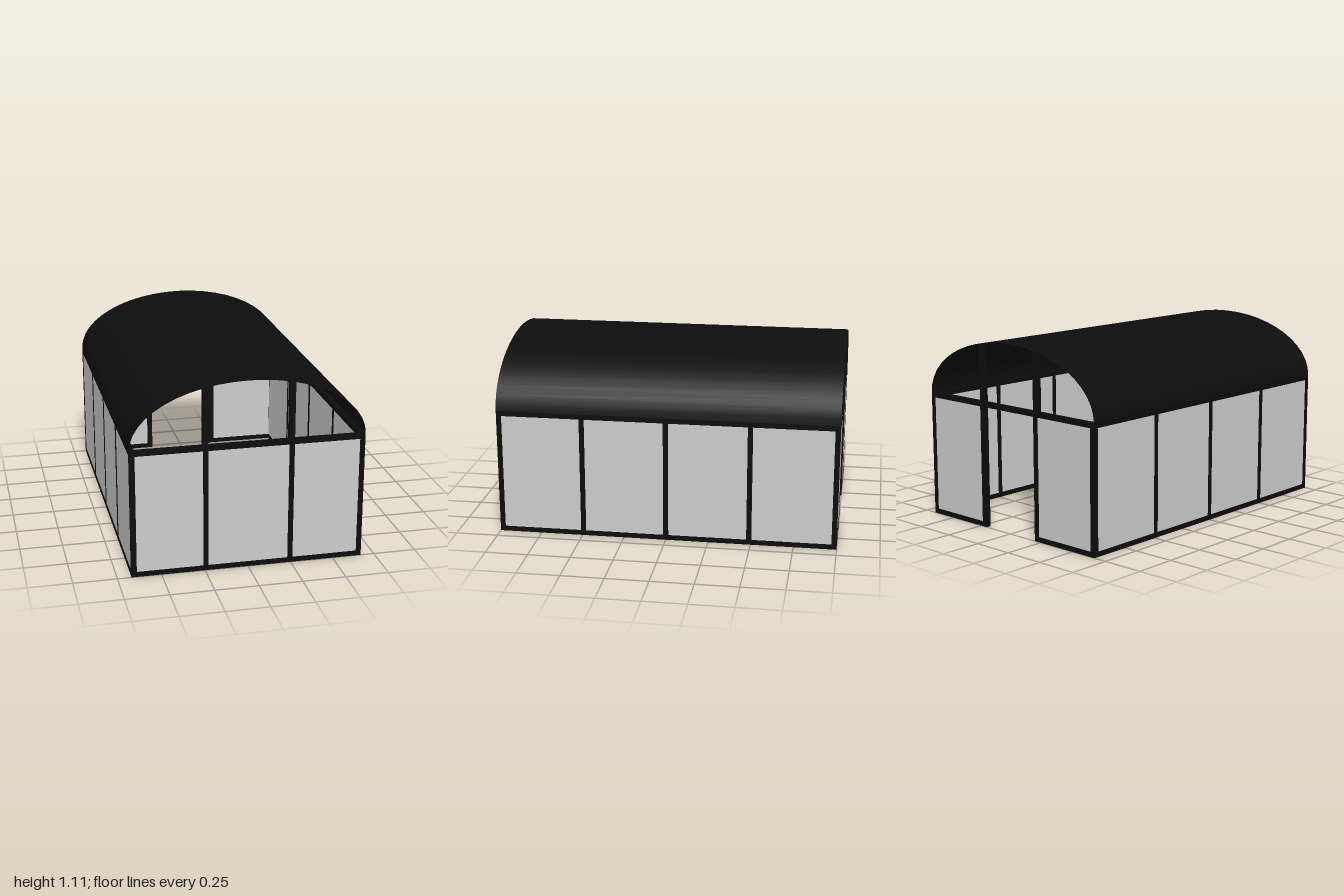
import * as THREE from 'three';

const W = 0.67, L = 1, H = 0.75, RISE = 0.36, T = 0.03;

const roofY = (x) => H + RISE * Math.sqrt(Math.max(0, 1 - (x / W) ** 2));

export function createModel() {
  const model = new THREE.Group();
  model.name = 'arched shelter';
  const frame = new THREE.MeshStandardMaterial({ name: 'black frame', color: 0x0c0c0c });
  const glass = new THREE.MeshStandardMaterial({ name: 'grey glass', color: 0xcccccc });
  const roofing = new THREE.MeshStandardMaterial({ name: 'black roofing', color: 0x0d0d0d, side: THREE.DoubleSide });

  // Box given by its lower and upper corners
  const box = (name, mat, x0, x1, y0, y1, z0, z1) => {
    const geo = new THREE.BoxGeometry(x1 - x0, y1 - y0, z1 - z0);
    geo.translate((x0 + x1) / 2, (y0 + y1) / 2, (z0 + z1) / 2);
    const mesh = new THREE.Mesh(geo, mat);
    mesh.name = name;
    model.add(mesh);
    return mesh;
  };

  // Post whose top corners follow the underside of the roof
  const tallPost = (name, x0, x1, z0, z1) => {
    const p = box(name, frame, x0, x1, 0, H, z0, z1).geometry.attributes.position;
    for (let i = 0; i < p.count; i++) {
      if (p.getY(i) > H / 2) p.setY(i, roofY(p.getX(i)) - 0.002);
    }
  };

  // Half-elliptical roof sheet, open at both ends
  const roofGeo = new THREE.CylinderGeometry(1, 1, 2 * L, 24, 1, true, -Math.PI / 2, Math.PI);
  roofGeo.rotateX(Math.PI / 2);
  const pos = roofGeo.attributes.position;
  for (let i = 0; i < pos.count; i++) {
    pos.setXYZ(i, pos.getX(i) * W, H + Math.abs(pos.getY(i)) * RISE, pos.getZ(i));
  }
  roofGeo.computeVertexNormals();
  const roof = new THREE.Mesh(roofGeo, roofing);
  roof.name = 'roof';
  model.add(roof);

  for (const s of [-1, 1]) {
    const span = (a, b) => (s > 0 ? [a, b] : [-b, -a]);
    const wall = span(W - T, W);
    const pane = span(W - T + 0.001, W - 0.002);

    // Side wall: rails, posts and panes
    box('side bottom rail', frame, ...wall, 0, T, -L, L);
    box('side top rail', frame, ...wall, H - T, H, -L, L);
    for (const z of [-0.49, 0, 0.493]) box('side post', frame, ...wall, T, H - T, z - T / 2, z + T / 2);
    box('side glass', glass, ...pane, T, H - T, -L + T, L - T);

    // Corner posts
    for (const e of [-1, 1]) {
      const z = e * (L - T / 2);
      box('corner post', frame, ...wall, 0, H, z - T / 2, z + T / 2);
    }

    // Front and back posts reaching the roof
    tallPost('front post', ...span(0.23, 0.26), L - 0.04, L);
    tallPost('door post', ...span(0.203, 0.237), -L, -L + T);

    // Back wall panel beside the doorway
    box('back bottom rail', frame, ...span(0.237, W - T), 0, T, -L, -L + T);
    box('back glass', glass, ...span(0.237, W - T), T, H - T, -L + 0.002, -L + T - 0.001);

    // Front side panes
    box('front side glass', glass, ...span(0.26, W - T), T, H - T, L - T + 0.001, L - 0.002);
  }

  // Front wall centre and end beams
  box('front centre glass', glass, -0.23, 0.23, T, H - T, L - T + 0.001, L - 0.002);
  box('front bottom rail', frame, -W + T, W - T, 0, T, L - T, L);
  box('front top rail', frame, -W + T, W - T, H - T, H, L - T, L);
  box('door header', frame, -W + T, W - T, H - T, H, -L, -L + T);

  return model;
}
